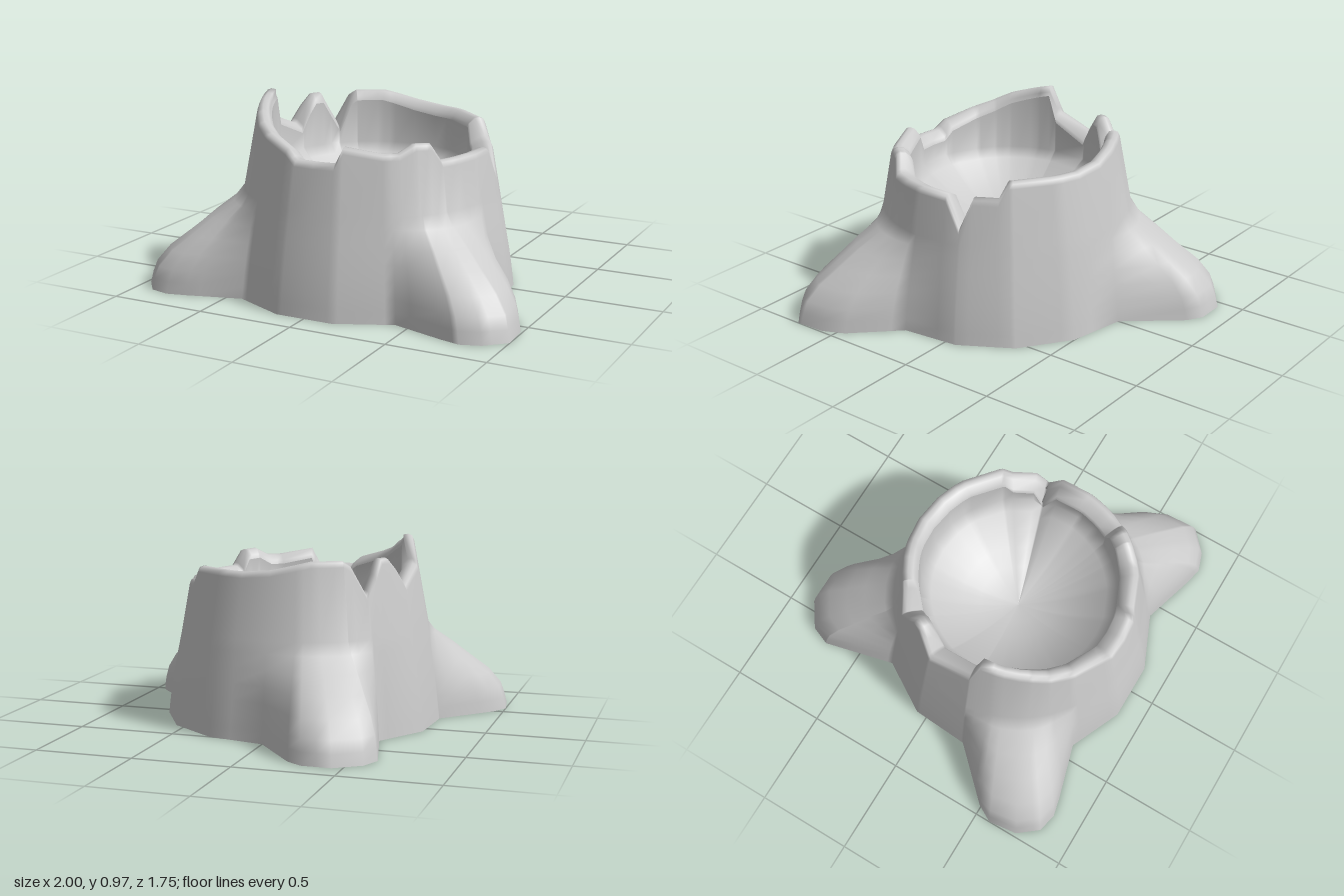
import * as THREE from 'three';

const CZ = 0.155; // trunk axis, slightly forward of the middle
const RAD = Math.PI / 180;

// Ground outline [x, z]: round trunk with three spreading roots
const OUTLINE = [
  [0.15, 0.87], [0.43, 0.75], [0.7, 0.83], [0.8, 0.853], [0.9, 0.82], [1, 0.73], [0.99, 0.57], [0.94, 0.46],
  [0.73, 0.24], [0.7, -0.06], [0.55, -0.32], [0.3, -0.5], [0, -0.56],
  [-0.22, -0.83], [-0.3, -0.88], [-0.45, -0.88], [-0.58, -0.79], [-0.62, -0.69], [-0.53, -0.32],
  [-0.69, -0.06], [-0.71, 0.24], [-0.95, 0.49], [-1, 0.58], [-0.98, 0.73], [-0.9, 0.83], [-0.8, 0.853],
  [-0.7, 0.83], [-0.42, 0.75], [-0.15, 0.87],
];

// Broken rim: [degrees around from the front, height]
const RIM = [
  [0, 0.74], [10, 0.74], [14, 0.82], [32, 0.79], [40, 0.79], [48, 0.83], [56, 0.825], [61, 0.74], [80, 0.74],
  [98.5, 0.735], [106, 0.585], [112, 0.735], [124, 0.735], [129, 0.82], [150, 0.825], [165, 0.825], [180, 0.84],
  [200, 0.885], [216, 0.885], [220, 0.86], [227, 0.72], [233, 0.81], [238, 0.885], [243, 0.885], [248, 0.83],
  [254, 0.74], [276, 0.82], [281, 0.968], [287, 0.955], [305, 0.91], [316, 0.865], [328, 0.83], [344, 0.785],
  [350, 0.74], [360, 0.74],
];

// Root reach at each height: [height, fraction of full reach]
const ROOT = [[0, 1], [0.06, 0.98], [0.12, 0.94], [0.2, 0.8], [0.28, 0.57], [0.36, 0.35], [0.44, 0.1], [0.5, 0]];

const polar = OUTLINE.map(([x, z]) => {
  const a = Math.atan2(x, z - CZ);
  return [a < 0 ? a + 2 * Math.PI : a, Math.hypot(x, z - CZ)];
});
const COLUMNS = [...new Set([...polar.map((p) => p[0]), ...RIM.slice(0, -1).map((r) => r[0] * RAD)])].sort((a, b) => a - b);

// Distance from the axis to the ground outline, along straight chords or round arcs
function baseRadius(a, round) {
  const n = polar.length;
  const i = Math.max(0, polar.findIndex((p) => p[0] > a));
  const [a0, r0] = polar[(i + n - 1) % n];
  const [a1, r1] = polar[i];
  const turn = (d) => (d + 2 * Math.PI) % (2 * Math.PI);
  const span = turn(a1 - a0);
  const t = turn(a - a0);
  if (round) return r0 + ((r1 - r0) * t) / span;
  return (r0 * r1 * Math.sin(span)) / (r0 * Math.sin(t) + r1 * Math.sin(span - t));
}

function rimHeight(a) {
  const d = a / RAD;
  const i = Math.max(1, RIM.findIndex((r) => r[0] >= d - 1e-6));
  const [d0, h0] = RIM[i - 1], [d1, h1] = RIM[i];
  return h0 + ((h1 - h0) * (d - d0)) / (d1 - d0);
}

const trunkRadius = (y) => 0.715 - 0.105 * y - 0.06 * y * y;

// Wrap a surface around the axis; column(a) lists [radius, height] pairs
function loft(column) {
  const pos = [], idx = [], n = COLUMNS.length;
  let rows = 0;
  for (const a of COLUMNS) {
    const pts = column(a);
    rows = pts.length;
    for (const [r, y] of pts) pos.push(Math.sin(a) * r, y, CZ + Math.cos(a) * r);
  }
  for (let i = 0; i < n; i++) {
    for (let j = 0; j < rows - 1; j++) {
      const p = i * rows + j, q = ((i + 1) % n) * rows + j;
      idx.push(p, q, q + 1, p, q + 1, p + 1);
    }
  }
  const g = new THREE.BufferGeometry();
  g.setAttribute('position', new THREE.Float32BufferAttribute(pos, 3));
  g.setIndex(idx);
  g.computeVertexNormals();
  return g;
}

// One upright strip of bark: root, tapering trunk, rounded lip
function barkColumn(a, round) {
  const h = rimHeight(a);
  const top = h - 0.03;
  const extra = baseRadius(a, round) - trunkRadius(0);
  const pts = ROOT.map(([y, f]) => [trunkRadius(y) + extra * f, y]);
  const R = trunkRadius(top);
  pts.push([R, top], [R - 0.01, h - 0.008], [R - 0.03, h], [R - 0.055, h - 0.004], [0.51, h - 0.03], [0.502, h - 0.05]);
  return pts;
}

export function createModel() {
  const group = new THREE.Group();
  group.name = 'treeStump';
  const material = new THREE.MeshStandardMaterial({ color: 0xcccccc, side: THREE.DoubleSide });
  const add = (name, geometry) => {
    const mesh = new THREE.Mesh(geometry, material);
    mesh.name = name;
    group.add(mesh);
  };

  // Bark: open underneath, faceted outline with the soft shading of a round trunk
  const bark = loft((a) => barkColumn(a, false));
  bark.setAttribute('normal', loft((a) => barkColumn(a, true)).getAttribute('normal'));
  add('barkAndRoots', bark);

  // Hollow: upright inner wall running into a shallow bowl-shaped floor
  add('hollow', loft((a) => {
    const h = rimHeight(a) - 0.05;
    const edge = Math.min(0.61, h - 0.01);
    const pts = [[0.502, h], [0.5, edge]];
    for (const s of [0.9, 0.75, 0.58, 0.4, 0.2, 0]) pts.push([0.5 * s, 0.37 + (edge - 0.37) * s * s]);
    return pts;
  }));

  return group;
}
